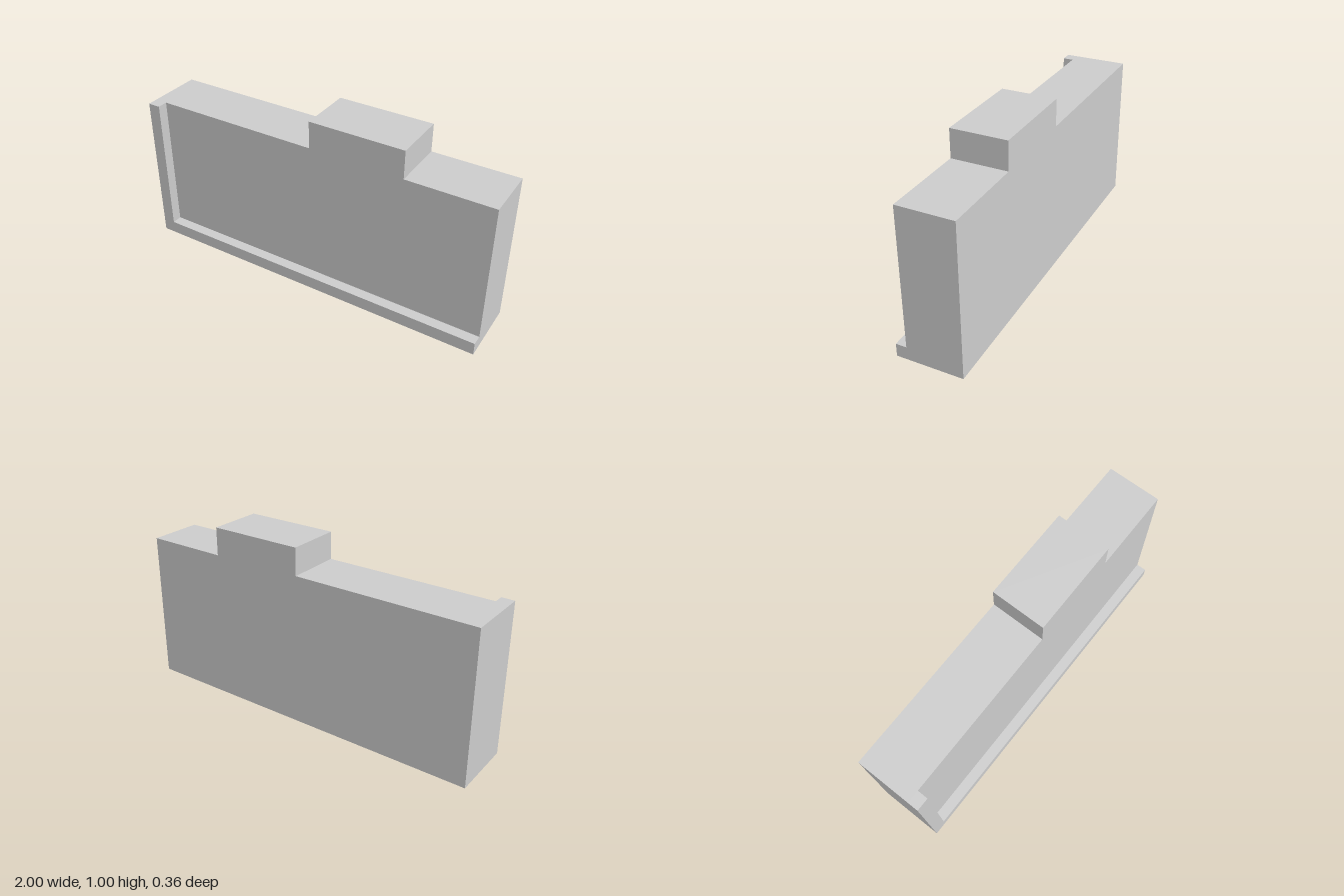
import * as THREE from 'three';

const material = new THREE.MeshStandardMaterial({ color: 0xcccccc, flatShading: true });

// Extrudes an outline in the xy plane from zBack to zFront.
function slab(name, outline, zBack, zFront) {
  const shape = new THREE.Shape(outline.map(([x, y]) => new THREE.Vector2(x, y)));
  const geometry = new THREE.ExtrudeGeometry(shape, { depth: zFront - zBack, bevelEnabled: false });
  geometry.translate(0, 0, zBack);
  const mesh = new THREE.Mesh(geometry, material);
  mesh.name = name;
  return mesh;
}

export function createModel() {
  const group = new THREE.Group();
  group.name = 'steppedBlock';

  const back = -0.18, face = 0.122, front = 0.18;
  const leftTop = 0.846, rightTop = 0.841, towerTop = 0.996;

  // Main block with the raised section on top
  group.add(slab('body', [
    [-1, 0], [1, 0], [1, rightTop], [0.53, rightTop], [0.53, towerTop],
    [0.004, towerTop], [0.004, leftTop], [-1, leftTop],
  ], back, face));

  // L-shaped rim standing proud of the front face
  group.add(slab('frontRim', [
    [-1, 0], [1, 0], [1, 0.072], [-0.93, 0.072], [-0.93, leftTop], [-1, leftTop],
  ], face, front));

  return group;
}
